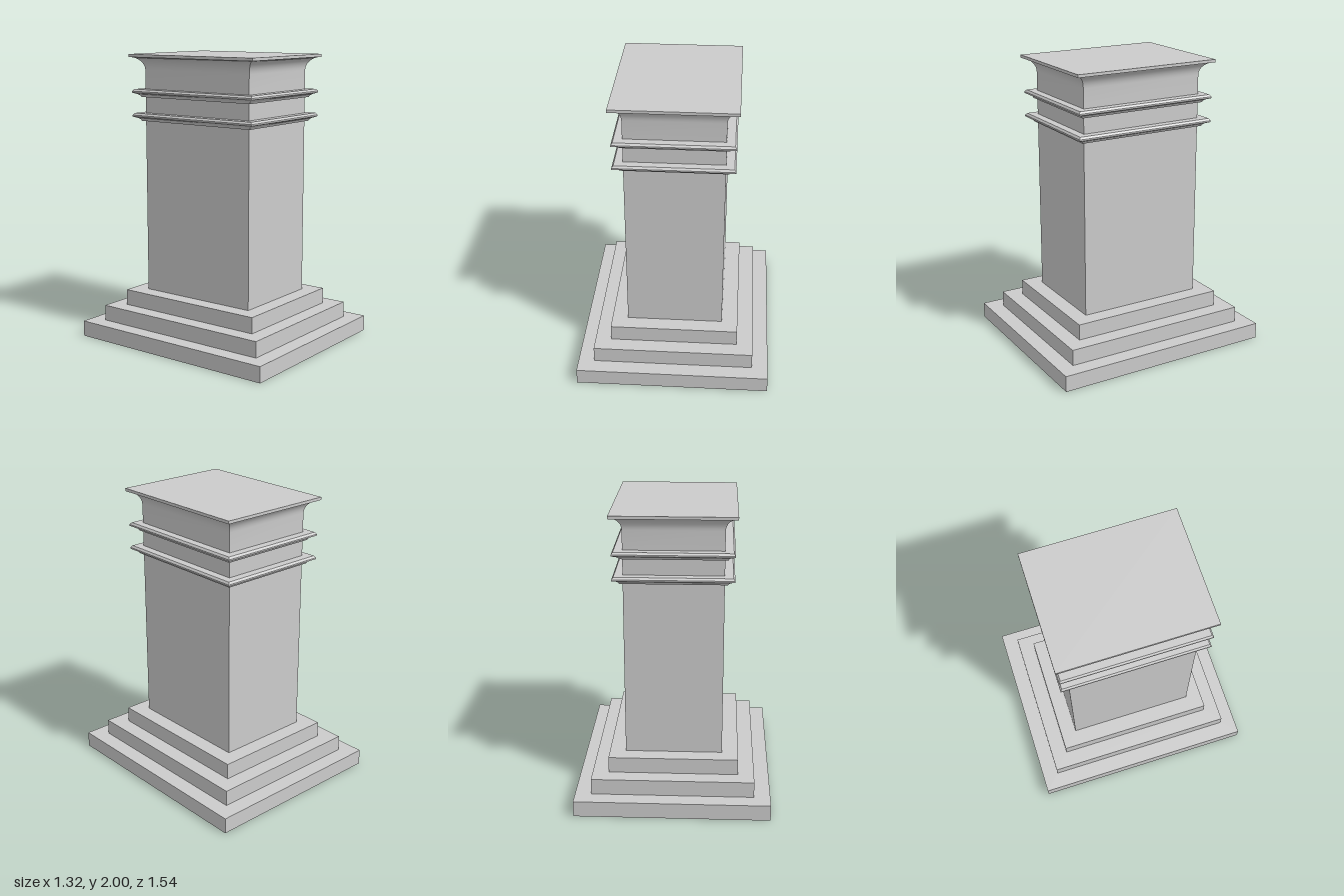
import * as THREE from 'three';
import { toCreasedNormals } from 'three/addons/utils/BufferGeometryUtils.js';

const DEPTH_EXTRA = 0.11; // half depth minus half width, the same at every level
const material = new THREE.MeshStandardMaterial({ color: 0xcccccc, side: THREE.DoubleSide });

// Sweeps a profile of [half width, height] points round a mitred rectangle.
function rectShell(name, profile, { crease = 0.3, cap = false } = {}) {
  const rings = profile.map(([w, y]) => {
    const d = w + DEPTH_EXTRA;
    return [[w, y, d], [w, y, -d], [-w, y, -d], [-w, y, d]];
  });
  const positions = [];
  const quad = (a, b, c, d) => positions.push(...a, ...b, ...c, ...a, ...c, ...d);
  for (let i = 0; i < rings.length - 1; i++) {
    for (let k = 0; k < 4; k++) {
      const n = (k + 1) % 4;
      quad(rings[i][k], rings[i][n], rings[i + 1][n], rings[i + 1][k]);
    }
  }
  if (cap) quad(...rings[rings.length - 1]);
  const geometry = new THREE.BufferGeometry();
  geometry.setAttribute('position', new THREE.Float32BufferAttribute(positions, 3));
  const mesh = new THREE.Mesh(toCreasedNormals(geometry, crease), material);
  mesh.name = name;
  return mesh;
}

export function createModel() {
  const model = new THREE.Group();
  model.name = 'pedestal';

  // Hollow stepped base, open underneath: a riser and a tread per step
  const step = 0.11;
  for (let i = 0; i < 3; i++) {
    const w = 0.66 - i * step;
    const top = (i + 1) * step;
    model.add(rectShell(`baseStep${i + 1}`, [[w, i * step], [w, top], [w - step, top]]));
  }

  // Plain shaft and the neck between the two mouldings
  const shaftW = 0.33;
  model.add(rectShell('shaft', [[shaftW, 0.33], [shaftW, 1.54]]));
  model.add(rectShell('neck', [[shaftW, 1.595], [shaftW, 1.705]]));

  // Two identical mouldings: curved underside, thin lip, flat top
  const moulding = [
    [0.33, 0], [0.35, 0], [0.356, 0.011], [0.368, 0.02], [0.385, 0.026],
    [0.396, 0.031], [0.396, 0.041], [0.385, 0.055], [0.33, 0.055],
  ];
  [1.54, 1.705].forEach((base, i) => {
    const profile = moulding.map(([w, y]) => [w, base + y]);
    model.add(rectShell(i ? 'upperMoulding' : 'lowerMoulding', profile, { crease: 0.6 }));
  });

  // Flared capital: straight wall sweeping out in a cove to a thin slab
  const capital = [[shaftW, 1.76], [shaftW, 1.89]];
  for (let i = 1; i <= 8; i++) {
    const t = (i / 8) * Math.PI / 2;
    capital.push([shaftW + 0.08 * (1 - Math.cos(t)), 1.89 + 0.09 * Math.sin(t)]);
  }
  model.add(rectShell('capital', capital, { crease: 0.6 }));
  model.add(rectShell('topSlab', [[0.41, 1.98], [0.41, 2]], { cap: true }));

  return model;
}
